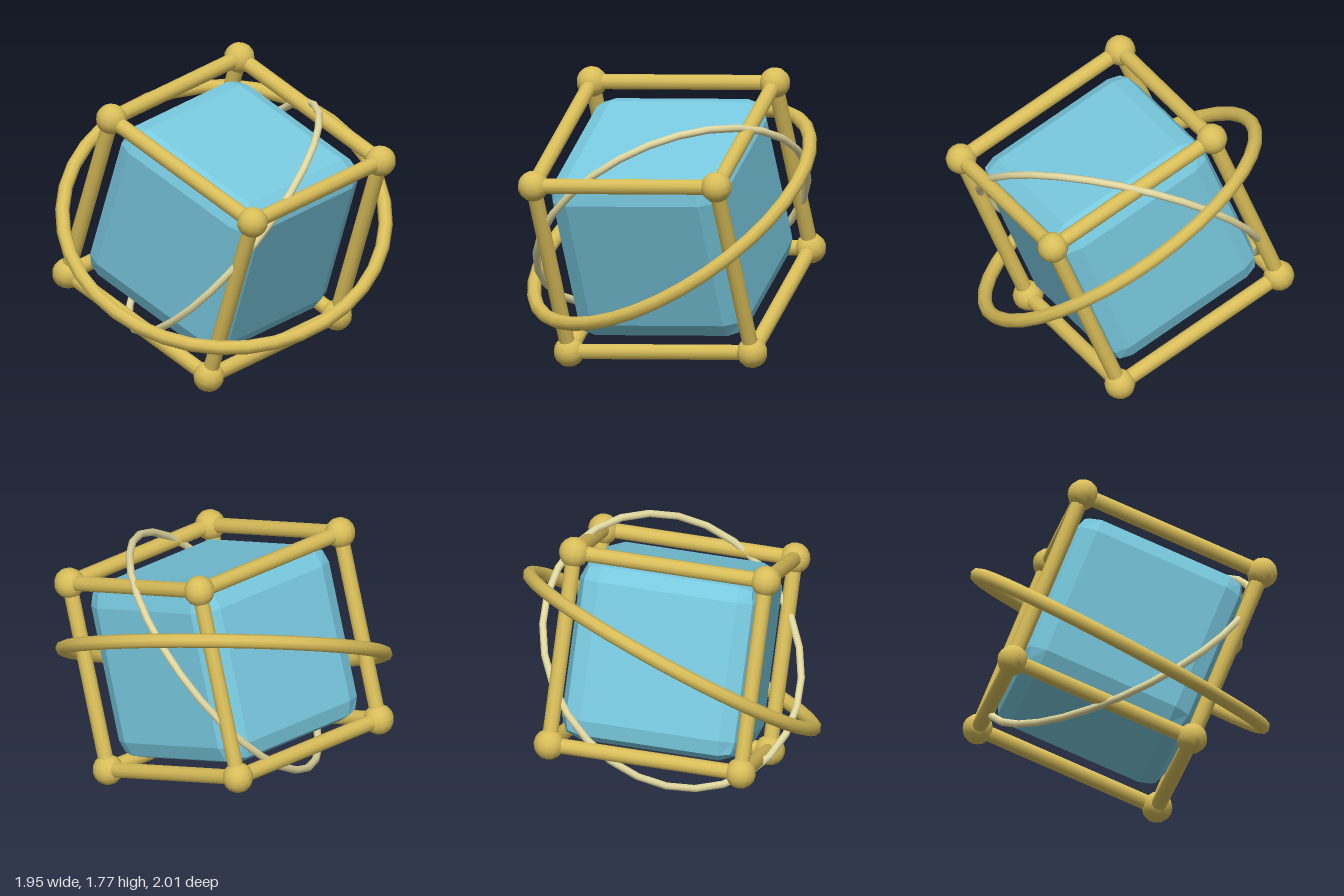
import * as THREE from 'three';
import { RoundedBoxGeometry } from 'three/addons/geometries/RoundedBoxGeometry.js';

const HALF = 0.583; // half the cage's edge length
const UP = new THREE.Vector3(0, 1, 0);

export function createModel() {
  const gold = new THREE.MeshStandardMaterial({ color: 0xd9be5a });
  gold.name = 'gold';
  const paleGold = new THREE.MeshStandardMaterial({ color: 0xe2d9a0 });
  paleGold.name = 'pale gold';
  const blue = new THREE.MeshStandardMaterial({ color: 0x78c8de });
  blue.name = 'sky blue';

  const model = new THREE.Group();
  model.name = 'cagedCube';

  const add = (parent, name, geometry, material) => {
    const mesh = new THREE.Mesh(geometry, material);
    mesh.name = name;
    parent.add(mesh);
    return mesh;
  };

  // Tilted cube with its cage
  const cube = new THREE.Group();
  cube.name = 'tiltedCube';
  cube.position.y = 0.88;
  cube.rotation.set(0.385, 0.352, -0.064);
  model.add(cube);

  // Faceted bevelled core
  const core = new RoundedBoxGeometry(1.1, 1.1, 1.1, 1, 0.13);
  core.computeVertexNormals();
  add(cube, 'core', core, blue);

  // Corner balls
  const ball = new THREE.SphereGeometry(0.093, 12, 8);
  for (const x of [-HALF, HALF])
    for (const y of [-HALF, HALF])
      for (const z of [-HALF, HALF])
        add(cube, 'cornerBall', ball, gold).position.set(x, y, z);

  // Edge bars, four along each axis
  const bar = new THREE.CylinderGeometry(0.047, 0.047, HALF * 2, 10, 1, true);
  for (let axis = 0; axis < 3; axis++) {
    for (const a of [-HALF, HALF]) {
      for (const b of [-HALF, HALF]) {
        const mesh = add(cube, 'edgeBar', bar, gold);
        mesh.position.setComponent((axis + 1) % 3, a);
        mesh.position.setComponent((axis + 2) % 3, b);
        const direction = new THREE.Vector3().setComponent(axis, 1);
        mesh.quaternion.setFromUnitVectors(UP, direction);
      }
    }
  }

  // Orbit rings, each given by the normal of its plane
  const addRing = (name, radius, tube, segments, normal, material) => {
    const geometry = new THREE.TorusGeometry(radius, tube, 8, segments);
    geometry.rotateX(-Math.PI / 2);
    const ring = add(model, name, geometry, material);
    ring.position.y = 0.88;
    ring.quaternion.setFromUnitVectors(UP, normal.normalize());
  };
  addRing('largeRing', 0.965, 0.043, 36, new THREE.Vector3(-0.244, 0.82, 0.517), gold);
  addRing('thinRing', 0.859, 0.023, 28, new THREE.Vector3(-0.69, 0.656, -0.3), paleGold);

  return model;
}
